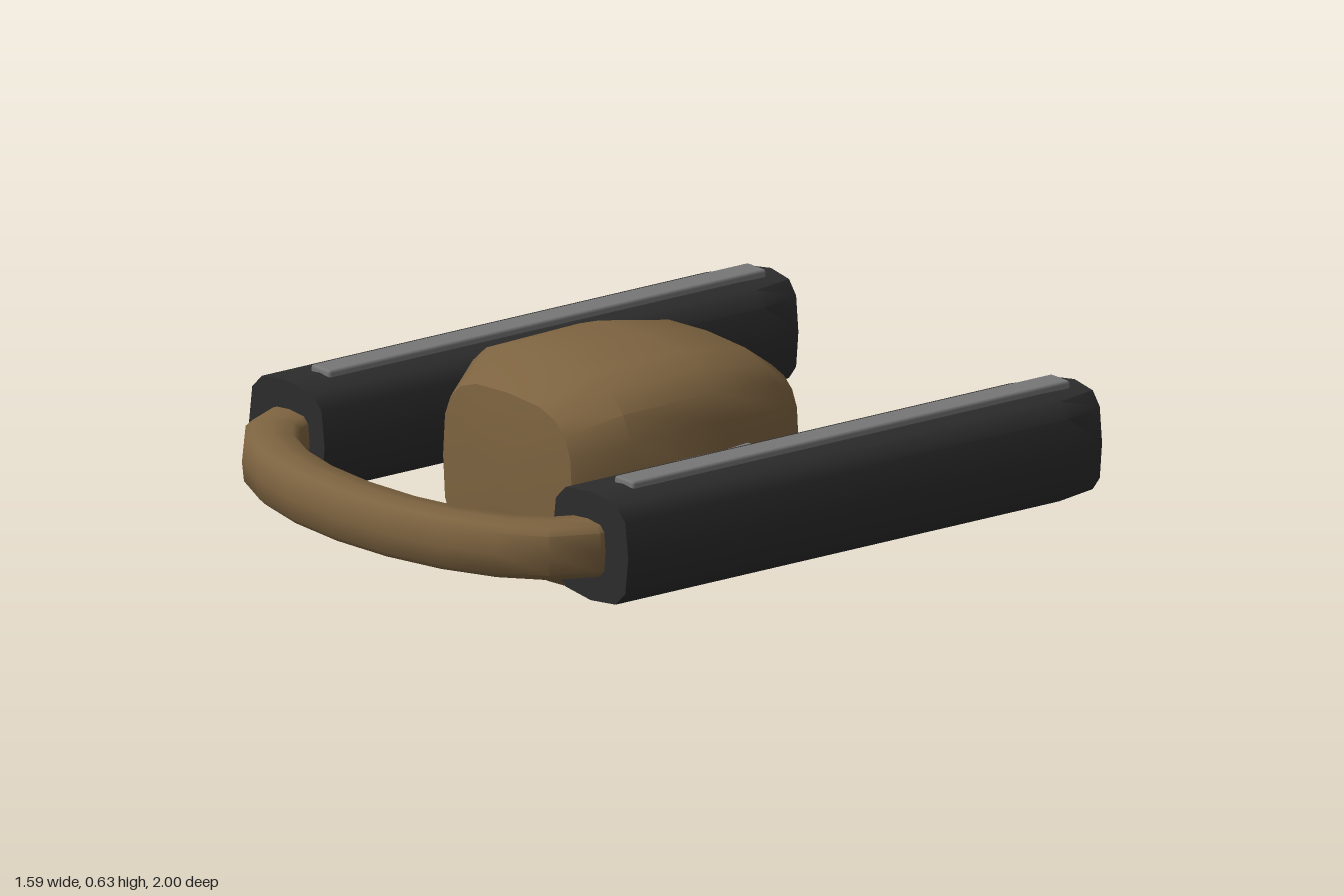
import * as THREE from 'three';
import { toCreasedNormals } from 'three/addons/utils/BufferGeometryUtils.js';
import { RoundedBoxGeometry } from 'three/addons/geometries/RoundedBoxGeometry.js';

const bronze = new THREE.MeshStandardMaterial({ name: 'bronze', color: 0x7d6340 });
const charcoal = new THREE.MeshStandardMaterial({ name: 'charcoal', color: 0x2c2c2c });
const grey = new THREE.MeshStandardMaterial({ name: 'grey', color: 0x777777 });

// Rounded-rectangle outline, counterclockwise, as [u, v] pairs
function outline(halfW, halfH, sides, power) {
  const soft = (v) => (Math.abs(v) < 1e-6 ? 0 : Math.sign(v) * Math.abs(v) ** power);
  return Array.from({ length: sides }, (_, i) => {
    const a = (i / sides) * Math.PI * 2;
    return [halfW * soft(Math.cos(a)), halfH * soft(Math.sin(a))];
  });
}

// Skin a row of equal-sized rings, keeping edges sharper than the crease angle
function loft(rings, crease) {
  const pos = [];
  const tri = (a, b, c) => {
    const area = b.clone().sub(a).cross(c.clone().sub(a)).length();
    if (area > 1e-8) for (const p of [a, b, c]) pos.push(p.x, p.y, p.z);
  };
  for (let i = 0; i < rings.length - 1; i++) {
    const n = rings[i].length;
    for (let j = 0; j < n; j++) {
      const k = (j + 1) % n;
      tri(rings[i][j], rings[i][k], rings[i + 1][k]);
      tri(rings[i][j], rings[i + 1][k], rings[i + 1][j]);
    }
  }
  const geo = new THREE.BufferGeometry();
  geo.setAttribute('position', new THREE.Float32BufferAttribute(pos, 3));
  geo.computeVertexNormals();
  return toCreasedNormals(geo, crease);
}

// Loft along z from [z, halfWidth, halfHeight] sections
function loftZ(sections, sides, power, crease) {
  return loft(sections.map(([z, w, h]) =>
    outline(w, h, sides, power).map(([u, v]) => new THREE.Vector3(u, v, z))), crease);
}

function add(parent, name, geometry, material, x, y, z) {
  const mesh = new THREE.Mesh(geometry, material);
  mesh.name = name;
  mesh.position.set(x, y, z);
  parent.add(mesh);
  return mesh;
}

export function createModel() {
  const model = new THREE.Group();
  model.name = 'craft';

  // Central pod, blunt at the front and tapering at the back
  const pod = loftZ([
    [-0.46, 0, 0],
    [-0.39, 0.22, 0.19],
    [-0.26, 0.325, 0.276],
    [-0.04, 0.36, 0.313],
    [0.27, 0.358, 0.306],
    [0.405, 0.27, 0.233],
    [0.43, 0, 0],
  ], 20, 0.61, 0.7);
  add(model, 'pod', pod, bronze, 0, 0.317, 0);

  // Side rails with their top strips and the struts to the pod
  const rail = loftZ([
    [-1, 0, 0],
    [-0.98, 0.115, 0.147],
    [-0.845, 0.158, 0.148],
    [0.635, 0.158, 0.148],
    [0.635, 0, 0],
  ], 12, 0.6, 0.75);
  const strip = new RoundedBoxGeometry(0.08, 0.04, 1.46, 1, 0.008);
  const strut = new RoundedBoxGeometry(0.3, 0.14, 0.27, 1, 0.012);
  for (const [side, s] of [['left', 1], ['right', -1]]) {
    add(model, side + 'Rail', rail, charcoal, s * 0.635, 0.328, 0);
    add(model, side + 'Strip', strip, grey, s * 0.635, 0.47, -0.205);
    add(model, side + 'Strut', strut, grey, s * 0.4, 0.325, 0);
  }

  // Curved bow joining the front ends of the rails
  const rx = 0.625, rz = 0.31, z0 = 0.61;
  const section = outline(0.078, 0.075, 12, 0.5);
  const bowRings = [];
  for (let i = 6; i >= -6; i--) {
    const t = THREE.MathUtils.degToRad(17 * i);
    const out = new THREE.Vector3(Math.sin(t) / rx, 0, Math.cos(t) / rz).normalize();
    bowRings.push(section.map(([u, v]) =>
      new THREE.Vector3(rx * Math.sin(t) + out.x * u, v, z0 + rz * Math.cos(t) + out.z * u)));
  }
  add(model, 'frontBow', loft(bowRings, 0.75), bronze, 0, 0.325, 0);

  return model;
}
